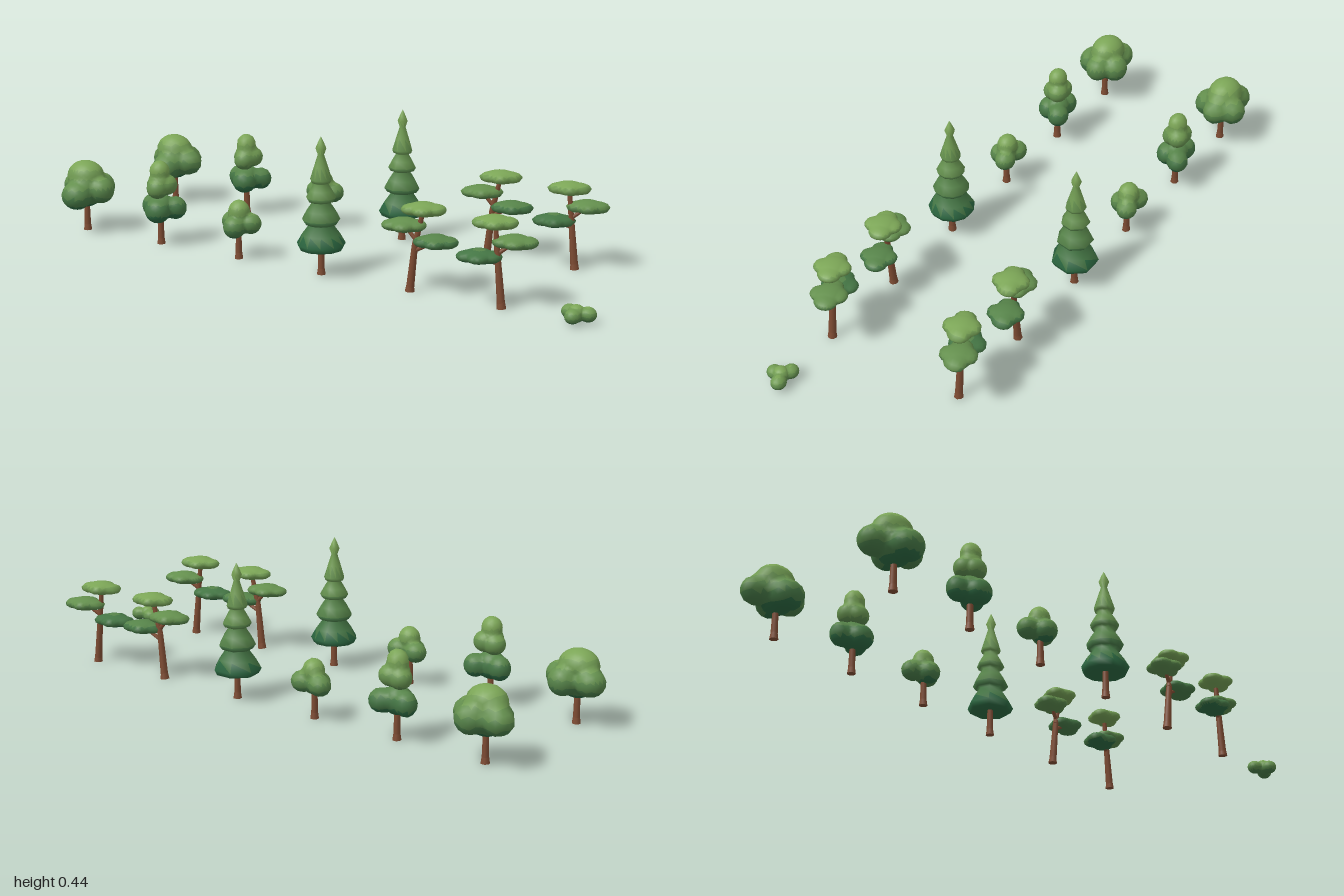
import * as THREE from 'three';
import { mergeVertices } from 'three/addons/utils/BufferGeometryUtils.js';

const BARK = new THREE.MeshStandardMaterial({ color: 0x7d4b32 });
const SHADES = 6;
const LEAVES = Array.from({ length: SHADES }, (_, i) => new THREE.MeshStandardMaterial({
  color: new THREE.Color(0x2a653f).lerp(new THREE.Color(0x7ba556), i / (SHADES - 1)),
}));

// Splits a smooth foliage geometry into height bands, dark below and light above.
function shaded(name, geo, low, high) {
  const group = new THREE.Group();
  group.name = name;
  const pos = geo.attributes.position, index = geo.index.array;
  const bands = LEAVES.map(() => []);
  for (let i = 0; i < index.length; i += 3) {
    const tri = [index[i], index[i + 1], index[i + 2]];
    const y = tri.reduce((sum, v) => sum + pos.getY(v), 0) / 3;
    const band = Math.floor(((y - low) / (high - low)) * SHADES);
    bands[THREE.MathUtils.clamp(band, 0, SHADES - 1)].push(...tri);
  }
  bands.forEach((tris, i) => {
    if (!tris.length) return;
    const part = new THREE.BufferGeometry();
    part.setAttribute('position', pos);
    part.setAttribute('normal', geo.attributes.normal);
    part.setIndex(tris);
    const mesh = new THREE.Mesh(part, LEAVES[i]);
    mesh.name = 'leafBand';
    group.add(mesh);
  });
  return group;
}

// A sphere pushed out along each ray to the farthest of several ellipsoid lobes.
// Each lobe is [x, y, z, rx, ry, rz]; the first one is the core.
function blob(lobes, detail) {
  let geo = new THREE.IcosahedronGeometry(1, detail);
  geo.deleteAttribute('normal');
  geo.deleteAttribute('uv');
  geo = mergeVertices(geo, 1e-4);
  const pos = geo.attributes.position;
  const core = new THREE.Vector3(...lobes[0]);
  const d = new THREE.Vector3();
  for (let i = 0; i < pos.count; i++) {
    d.fromBufferAttribute(pos, i).normalize();
    let far = 0;
    for (const [x, y, z, rx, ry = rx, rz = rx] of lobes) {
      const r = new THREE.Vector3(rx, ry, rz);
      const o = new THREE.Vector3(core.x - x, core.y - y, core.z - z).divide(r);
      const e = d.clone().divide(r);
      const a = e.dot(e), b = o.dot(e), c = o.dot(o) - 1;
      const disc = b * b - a * c;
      if (disc > 0) far = Math.max(far, (-b + Math.sqrt(disc)) / a);
    }
    pos.setXYZ(i, core.x + d.x * far, core.y + d.y * far, core.z + d.z * far);
  }
  geo.computeVertexNormals();
  return geo;
}

// Tapered piece of wood between two points.
function limb(name, a, b, r0, r1, sides) {
  const from = new THREE.Vector3(...a), to = new THREE.Vector3(...b);
  const dir = to.clone().sub(from);
  const mesh = new THREE.Mesh(new THREE.CylinderGeometry(r1, r0, dir.length(), sides), BARK);
  mesh.position.copy(from).add(to).multiplyScalar(0.5);
  mesh.quaternion.setFromUnitVectors(new THREE.Vector3(0, 1, 0), dir.normalize());
  mesh.name = name;
  return mesh;
}

function straightTrunk(top, q) {
  return [
    limb('trunkFoot', [0, 0, 0], [0, 0.02, 0], 0.014, 0.011, q.sides),
    limb('trunk', [0, 0.02, 0], [0, top, 0], 0.011, 0.009, q.sides),
  ];
}

function leafyTree(name, blobs, low, high, q) {
  const tree = new THREE.Group();
  tree.name = name;
  if (low > 0.05) tree.add(...straightTrunk(low + 0.04, q));
  blobs.forEach((lobes) => tree.add(shaded('crown', blob(lobes, q.detail), low, high)));
  return tree;
}

// Conifer: a single turned profile of four tiers.
function conifer(q) {
  const tree = new THREE.Group();
  tree.name = 'conifer';
  const profile = [
    [0, 0.09], [0.045, 0.078], [0.068, 0.083], [0.077, 0.1], [0.06, 0.13], [0.038, 0.16],
    [0.05, 0.164], [0.06, 0.178], [0.046, 0.205], [0.028, 0.232],
    [0.04, 0.236], [0.047, 0.248], [0.035, 0.27], [0.022, 0.292],
    [0.03, 0.296], [0.034, 0.306], [0.022, 0.345], [0.01, 0.383],
    [0.017, 0.403], [0.009, 0.422], [0.0005, 0.44],
  ].map(([r, y]) => new THREE.Vector2(r, y));
  const geo = new THREE.LatheGeometry(profile, q.coniferSides);
  tree.add(...straightTrunk(0.1, q), shaded('needles', geo, 0.05, 0.46));
  return tree;
}

// Flat lumpy pad of leaves.
function pad([x, y, z], q) {
  const lobes = [
    [x, y, z, 0.052, 0.022, 0.046],
    [x - 0.032, y - 0.002, z + 0.012, 0.035, 0.017, 0.035],
    [x + 0.032, y - 0.001, z - 0.012, 0.035, 0.018, 0.037],
    [x + 0.01, y, z + 0.025, 0.033, 0.016, 0.033],
    [x - 0.008, y, z - 0.025, 0.034, 0.016, 0.033],
  ];
  return shaded('leafPad', blob(lobes, q.detail), 0.11, 0.3);
}

// Leaning tree: a bent trunk, one branch to each side, and a pad at each end.
function padTree(name, bend, top, sides, q) {
  const tree = new THREE.Group();
  tree.name = name;
  tree.add(
    limb('trunkFoot', [0, 0, 0], [bend[0] * 0.1, 0.02, 0], 0.015, 0.012, q.sides),
    limb('lowerTrunk', [bend[0] * 0.1, 0.015, 0], bend, 0.0125, 0.0095, q.sides),
    limb('upperTrunk', bend, top, 0.0095, 0.007, q.sides),
    pad(top, q),
  );
  sides.forEach(({ start, end }) => {
    tree.add(limb('branch', start, end, 0.007, 0.005, q.sides), pad(end, q));
  });
  return tree;
}

// Lobes of the round crowns.
const BROAD = [[
  [0, 0.15, 0, 0.065, 0.068, 0.06],
  [-0.057, 0.145, -0.025, 0.05, 0.045, 0.046],
  [0.06, 0.145, -0.005, 0.045, 0.045, 0.042],
  [0, 0.128, 0.052, 0.053, 0.047, 0.046],
  [0.022, 0.143, -0.052, 0.046, 0.048, 0.044],
  [-0.005, 0.185, -0.005, 0.066, 0.054, 0.056],
]];
const TALL = [[
  [0, 0.125, 0, 0.046, 0.046, 0.042],
  [-0.04, 0.122, -0.012, 0.037, 0.04, 0.034],
  [0.04, 0.122, -0.028, 0.038, 0.038, 0.036],
  [0.008, 0.117, 0.026, 0.043, 0.04, 0.038],
], [
  [0, 0.205, 0, 0.04, 0.045, 0.036],
  [-0.015, 0.195, -0.008, 0.038, 0.034, 0.034],
  [0.018, 0.2, -0.012, 0.036, 0.034, 0.034],
  [0.002, 0.19, 0.016, 0.036, 0.034, 0.034],
  [0, 0.245, 0, 0.034, 0.036, 0.031],
]];
const SMALL = [[
  [0, 0.12, -0.002, 0.04, 0.042, 0.036],
  [-0.035, 0.115, -0.018, 0.037, 0.034, 0.034],
  [0.034, 0.117, -0.018, 0.036, 0.034, 0.034],
  [0, 0.108, 0.022, 0.036, 0.036, 0.036],
  [0, 0.152, -0.004, 0.036, 0.041, 0.034],
]];
const BUSH = [[
  [0, 0.029, 0, 0.026, 0.027, 0.026],
  [-0.028, 0.027, -0.015, 0.026, 0.022, 0.024],
  [0.03, 0.027, -0.015, 0.026, 0.023, 0.024],
  [0, 0.026, 0.024, 0.024, 0.022, 0.026],
]];

export function createModel() {
  const model = new THREE.Group();
  model.name = 'treeSet';
  // The front row is finer, the back row coarser.
  const rows = [
    { z: 0.24, detail: 7, sides: 10, coniferSides: 11 },
    { z: -0.24, detail: 4, sides: 7, coniferSides: 7 },
  ];
  for (const q of rows) {
    const row = new THREE.Group();
    row.name = q.z > 0 ? 'frontRow' : 'backRow';
    row.position.z = q.z;
    const place = (x, tree) => { tree.position.x = x; row.add(tree); };
    place(-0.893, leafyTree('broadTree', BROAD, 0.07, 0.24, q));
    place(-0.575, leafyTree('tallTree', TALL, 0.07, 0.28, q));
    place(-0.257, leafyTree('smallTree', SMALL, 0.06, 0.19, q));
    place(0.062, conifer(q));
    place(0.385, padTree('rightLeaningTree', [0.017, 0.15, 0], [0.043, 0.262, -0.005], [
      { start: [0.02, 0.165, 0], end: [-0.018, 0.208, 0.008] },
      { start: [0.015, 0.13, 0], end: [0.082, 0.165, -0.012] },
    ], q));
    place(0.7, padTree('leftLeaningTree', [-0.015, 0.15, 0], [-0.026, 0.26, 0], [
      { start: [-0.017, 0.165, 0], end: [0.028, 0.202, -0.025] },
      { start: [-0.014, 0.135, 0], end: [-0.07, 0.153, 0.014] },
    ], q));
    if (q.z > 0) place(0.944, leafyTree('bush', BUSH, -0.01, 0.06, q));
    model.add(row);
  }
  return model;
}
